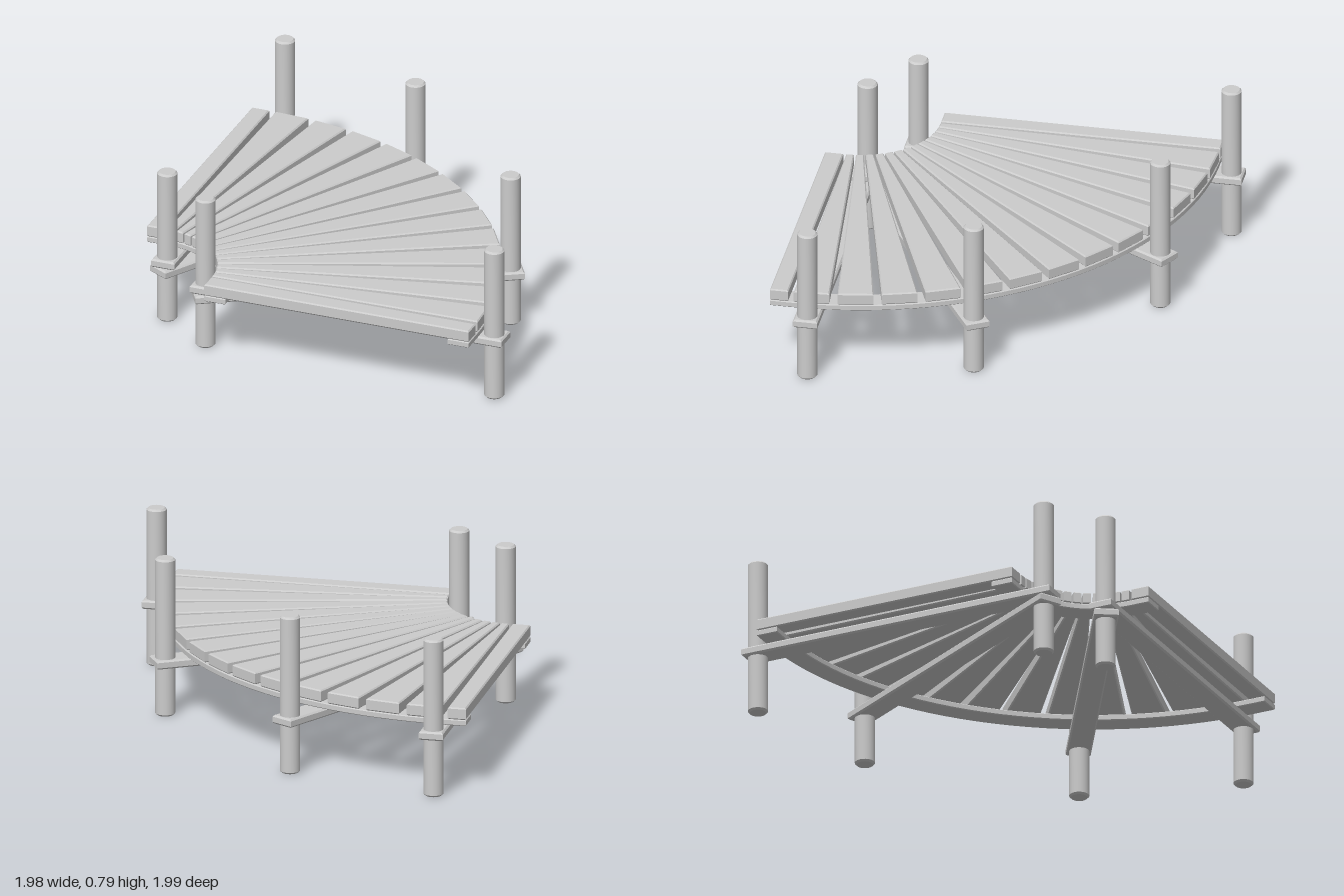
import * as THREE from 'three';
import { toCreasedNormals } from 'three/addons/utils/BufferGeometryUtils.js';

const CX = -0.89, CZ = 0.89;      // centre of the quarter turn
const R_IN = 0.39, R_OUT = 1.76;  // inner and outer deck radius
const END = 0.99;                 // square ends of the deck
const material = new THREE.MeshStandardMaterial({ color: 0xcccccc });

// point on the turn: angle in degrees, from the back (0) to the right end (90)
function polar(radius, degrees) {
  const a = THREE.MathUtils.degToRad(degrees);
  return [CX + radius * Math.sin(a), CZ - radius * Math.cos(a)];
}

// flat board from an outline of [x, z] points, with slightly bevelled edges
function board(name, outline, y0, y1, bevel) {
  const shape = new THREE.Shape(outline.map(([x, z]) => new THREE.Vector2(x, -z)));
  const extruded = new THREE.ExtrudeGeometry(shape, {
    depth: y1 - y0 - 2 * bevel, bevelSize: bevel, bevelThickness: bevel,
    bevelOffset: -bevel, bevelSegments: 1,
  });
  extruded.rotateX(-Math.PI / 2).translate(0, y0 + bevel, 0);
  const mesh = new THREE.Mesh(toCreasedNormals(extruded, 0.5), material);
  mesh.name = name;
  return mesh;
}

function rectangle(x0, x1, z0, z1) {
  return [[x0, z0], [x0, z1], [x1, z1], [x1, z0]];
}

// rectangle around the line between two posts, reaching past both
function alongLine([ax, az], [bx, bz], halfWidth, overhang) {
  const d = new THREE.Vector2(bx - ax, bz - az).normalize();
  const corner = (x, z, along, side) => [
    x + d.x * along - d.y * side, z + d.y * along + d.x * side];
  return [
    corner(ax, az, -overhang, -halfWidth), corner(bx, bz, overhang, -halfWidth),
    corner(bx, bz, overhang, halfWidth), corner(ax, az, -overhang, halfWidth),
  ];
}

// curved rail with short straight ends
function railOutline(r0, r1) {
  const edge = (r) => {
    const points = [[-END, CZ - r]];
    for (let i = 0; i <= 32; i++) points.push(polar(r, (i / 32) * 90));
    points.push([CX + r, END]);
    return points;
  };
  return [...edge(r1), ...edge(r0).reverse()];
}

export function createModel() {
  const model = new THREE.Group();
  model.name = 'curvedBoardwalk';

  // deck: tapered planks fanned round the turn, a straight one at each end
  const deck = new THREE.Group();
  deck.name = 'deck';
  const count = 13, step = 90 / count, half = 2.83;
  for (let i = 0; i < count; i++) {
    const a = (i + 0.5) * step + 0.08;
    deck.add(board('taperedPlank', [
      polar(R_IN, a - half), polar(R_OUT, a - half),
      polar(R_OUT, a + half), polar(R_IN, a + half),
    ], 0.365, 0.425, 0.006));
  }
  deck.add(board('backEndPlank',
    rectangle(-END, -0.9, CZ - R_OUT, CZ - R_IN), 0.365, 0.425, 0.006));
  deck.add(board('frontEndPlank',
    rectangle(CX + R_IN, CX + R_OUT, 0.9, END), 0.365, 0.425, 0.006));
  model.add(deck);

  // rails carrying the planks
  model.add(board('innerRail', railOutline(R_IN, R_IN + 0.11), 0.335, 0.365, 0.004));
  model.add(board('outerRail', railOutline(R_OUT - 0.11, R_OUT), 0.335, 0.365, 0.004));

  // posts, two inside the turn and four outside
  const innerA = [-0.845, 0.6], innerB = [-0.57, 0.795];
  const outer = [[-0.845, -0.935], [-0.09, -0.735], [0.703, 0.023], [0.925, 0.795]];
  const r = 0.049, h = 0.79, c = 0.009;
  const profile = [[0, 0], [r - c, 0], [r, c], [r, h - c], [r - c, h], [0, h]]
    .map(([x, y]) => new THREE.Vector2(x, y));
  const postGeometry = toCreasedNormals(new THREE.LatheGeometry(profile, 24), 0.5);
  for (const [x, z] of [innerA, innerB, ...outer]) {
    const post = new THREE.Mesh(postGeometry, material);
    post.name = 'post';
    post.position.set(x, 0, z);
    model.add(post);
  }

  // cross beams: the end pair sits above the slanted middle pair
  [[innerA, outer[0], 0.29], [innerB, outer[3], 0.29],
    [innerA, outer[1], 0.245], [innerB, outer[2], 0.245]].forEach(([a, b, y]) => {
    model.add(board('crossBeam', alongLine(a, b, 0.06, 0.06), y, y + 0.043, 0.008));
  });

  return model;
}
